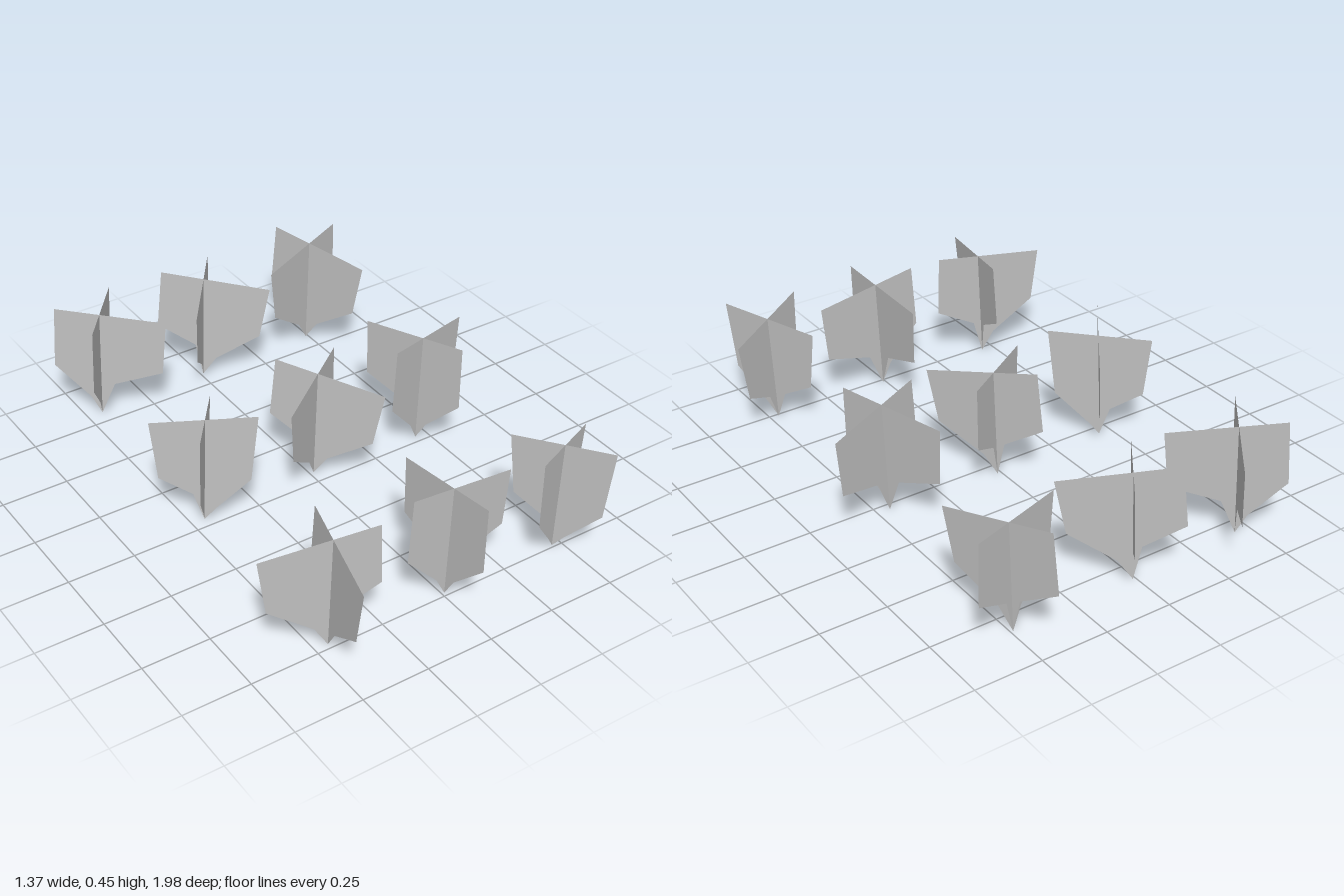
import * as THREE from 'three';

// Leaf card outlines: u across the card, y up, starting at the stem tip
const OUTLINES = {
  steep: [[0, 0.01], [0.05, 0.085], [0.215, 0.195], [0.25, 0.4], [-0.16, 0.45], [-0.175, 0.22], [-0.03, 0.14]],
  shallow: [[0, 0.01], [0.05, 0.14], [0.23, 0.2], [0.243, 0.415], [-0.165, 0.45], [-0.172, 0.21], [-0.04, 0.08]],
  narrow: [[0, 0.01], [0.04, 0.115], [0.16, 0.175], [0.192, 0.4], [-0.18, 0.45], [-0.16, 0.19], [-0.04, 0.06]],
};

// outline, x, z, direction of the first card (dx, dz)
const PLANTS = [
  ['shallow', -0.43, -0.81, 0.19, 0.14],
  ['steep', 0.02, -0.825, -0.14, 0.19],
  ['steep', 0.5, -0.83, -0.23, 0.09],
  ['narrow', -0.44, -0.04, 0.105, -0.145],
  ['steep', 0.025, -0.055, -0.195, 0.14],
  ['shallow', 0.46, -0.03, 0.22, -0.08],
  ['steep', -0.44, 0.73, -0.25, -0.055],
  ['shallow', 0.02, 0.735, 0.245, -0.012],
  ['narrow', 0.475, 0.74, 0.17, -0.09],
];

const LEAN = 0.045;

export function createModel() {
  const model = new THREE.Group();
  model.name = 'plantPatch';
  const leafGrey = new THREE.MeshStandardMaterial({ color: 0xc0c0c0, side: THREE.DoubleSide });
  leafGrey.name = 'leafGrey';

  const cards = {};
  for (const [name, points] of Object.entries(OUTLINES)) {
    cards[name] = new THREE.ShapeGeometry(new THREE.Shape(points.map(([u, y]) => new THREE.Vector2(u, y))));
  }

  // Each plant is two identical cards crossed at a right angle, leaning slightly
  PLANTS.forEach(([kind, x, z, dx, dz], i) => {
    const plant = new THREE.Group();
    plant.name = `plant${i + 1}`;
    for (let k = 0; k < 2; k++) {
      const card = new THREE.Mesh(cards[kind], leafGrey);
      card.name = k ? 'crossLeafCard' : 'leafCard';
      card.rotation.y = k * Math.PI / 2;
      plant.add(card);
    }
    plant.rotation.order = 'ZYX';
    plant.rotation.set(0, Math.atan2(-dz, dx), -LEAN);
    plant.position.set(x - 0.01, 0, z);
    model.add(plant);
  });
  return model;
}
